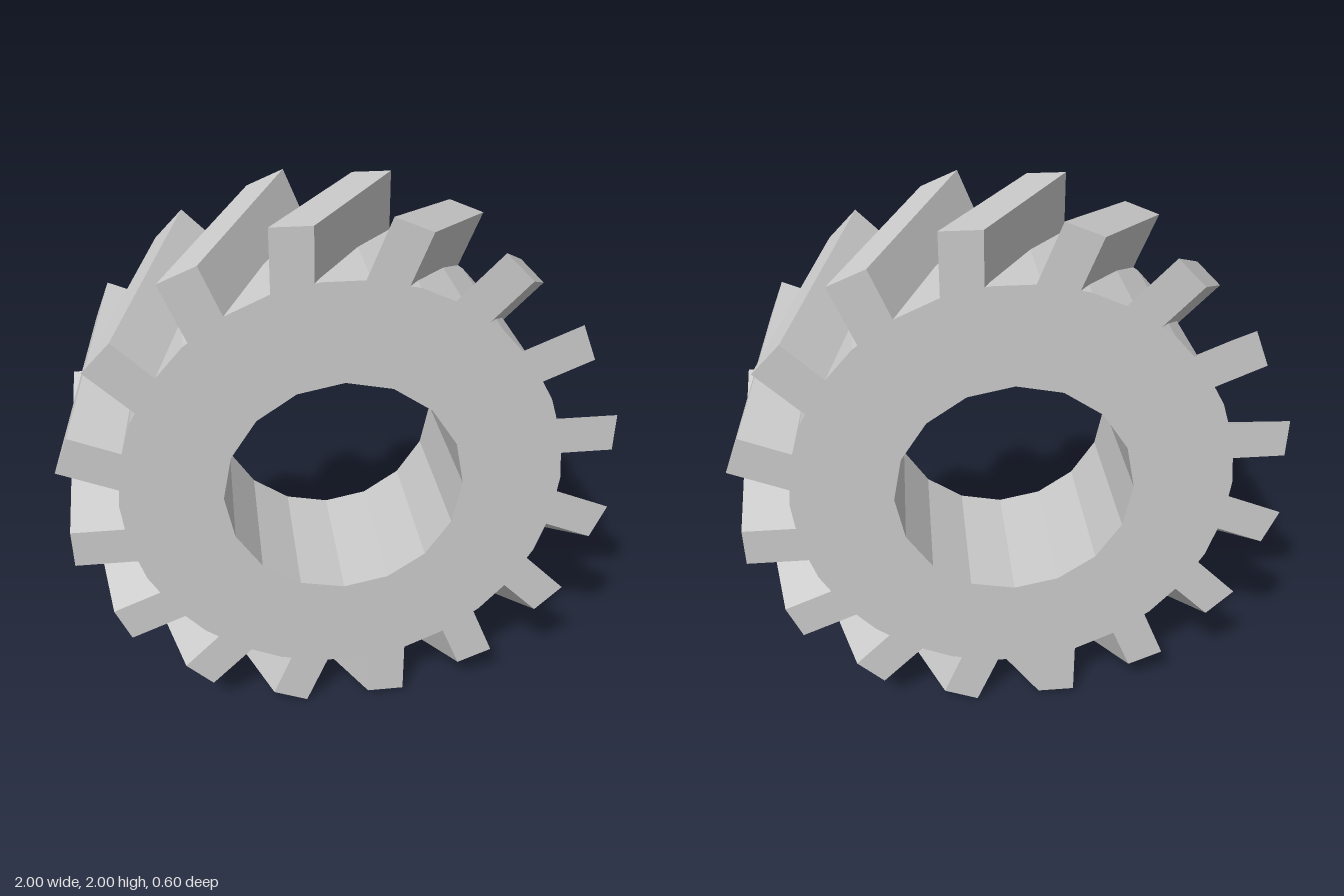
import * as THREE from 'three';

const DEPTH = 0.6, TEETH = 16;

// Regular polygon points, first corner on +x
function polygon(radius, sides) {
  return Array.from({ length: sides }, (_, i) => {
    const a = (i / sides) * Math.PI * 2;
    return new THREE.Vector2(radius * Math.cos(a), radius * Math.sin(a));
  });
}

export function createModel() {
  const group = new THREE.Group();
  group.name = 'helicalGear';
  const material = new THREE.MeshStandardMaterial({ color: 0xcccccc, flatShading: true });

  // Ring body with a 16-sided bore
  const ring = new THREE.Shape(polygon(0.8, 30));
  ring.holes.push(new THREE.Path(polygon(0.433, 16)));
  const bodyGeometry = new THREE.ExtrudeGeometry(ring, { depth: DEPTH, bevelEnabled: false });
  bodyGeometry.translate(0, 0, -DEPTH / 2);
  const body = new THREE.Mesh(bodyGeometry, material);
  body.name = 'gearBody';
  body.position.y = 1;
  group.add(body);

  // Slanted tooth: a bar sheared sideways along the depth, rooted in the body
  const inner = 0.7, outer = 0.981, slant = 0.345;
  const toothGeometry = new THREE.BoxGeometry(0.143, outer - inner, DEPTH);
  toothGeometry.translate(0, (inner + outer) / 2, 0);
  const shear = new THREE.Matrix4().set(
    1, 0, -slant / DEPTH, 0,
    0, 1, 0, 0,
    0, 0, 1, 0,
    0, 0, 0, 1
  );
  toothGeometry.applyMatrix4(shear);

  const teeth = new THREE.Group();
  teeth.name = 'teeth';
  teeth.position.y = 1;
  for (let i = 0; i < TEETH; i++) {
    const tooth = new THREE.Mesh(toothGeometry, material);
    tooth.name = 'tooth';
    tooth.rotation.z = (i / TEETH) * Math.PI * 2;
    teeth.add(tooth);
  }
  group.add(teeth);
  return group;
}
